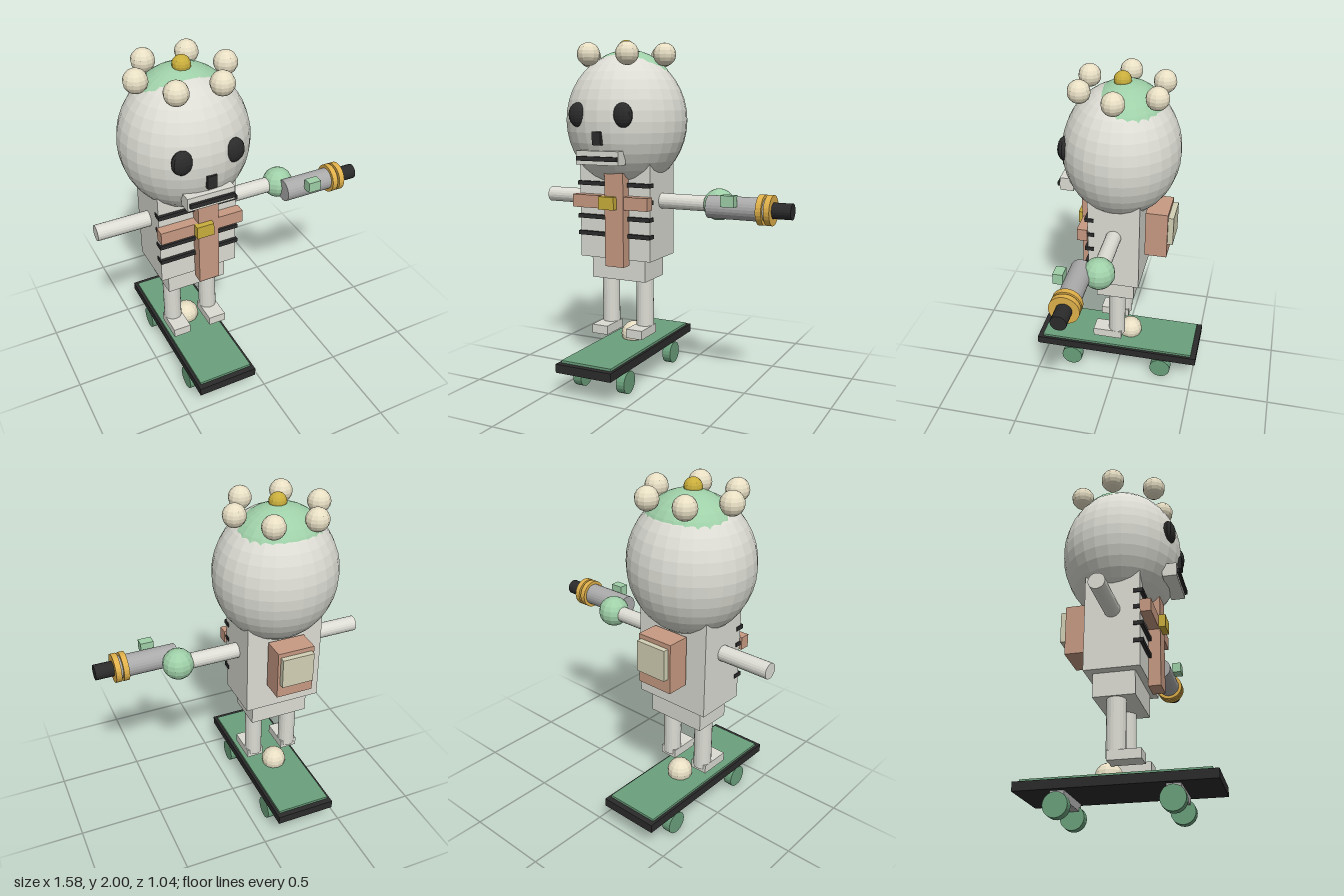
import * as THREE from 'three';

const mat = (color) => new THREE.MeshStandardMaterial({ color, flatShading: true });

export function createModel() {
  const model = new THREE.Group();
  const CX = -0.255; // body axis; the long left arm shifts it off centre

  const bone = mat(0xdcdcd4), cream = mat(0xe8dfc4), black = mat(0x2b2b2b);
  const mint = mat(0x9fd0a8), green = mat(0x6ba07c), brown = mat(0xc79a82);
  const gold = mat(0xe0b04a), brass = mat(0xc9ae3c), steel = mat(0xaaaaaa), sage = mat(0xd2d0b4);

  const add = (name, geometry, material, x, y, z) => {
    const mesh = new THREE.Mesh(geometry, material);
    mesh.name = name;
    mesh.position.set(x, y, z);
    model.add(mesh);
    return mesh;
  };
  // Box given by its size and centre
  const box = (name, m, [w, h, d], x, y, z) => add(name, new THREE.BoxGeometry(w, h, d), m, x, y, z);
  // Ellipsoid given by its three radii
  const ball = (name, m, [rx, ry, rz], x, y, z, ws = 12, hs = 10) =>
    add(name, new THREE.SphereGeometry(1, ws, hs).scale(rx, ry, rz), m, x, y, z);
  // Cylinder along x from x0 to x1
  const rodX = (name, m, r, x0, x1, y, z, sides = 20) =>
    add(name, new THREE.CylinderGeometry(r, r, x1 - x0, sides).rotateZ(-Math.PI / 2), m, (x0 + x1) / 2, y, z);

  // Head with a cap of hair
  ball('head', bone, [0.357, 0.39, 0.34], CX, 1.54, 0, 28, 20);
  ball('cap', mint, [0.289, 0.27, 0.257], CX, 1.675, -0.02, 24, 20);
  ball('topKnob', brass, [0.05, 0.05, 0.05], CX, 1.95, 0);
  for (let i = 0; i < 6; i++) {
    const a = (i * Math.PI) / 3;
    ball('crownBall', cream, [0.065, 0.065, 0.065], CX + 0.247 * Math.cos(a), 1.912, 0.247 * Math.sin(a));
  }

  // Face
  for (const s of [-1, 1]) ball('eye', black, [0.06, 0.069, 0.038], CX + s * 0.142, 1.577, 0.3);
  box('nose', black, [0.054, 0.074, 0.03], CX, 1.45, 0.332);
  box('jaw', bone, [0.27, 0.078, 0.08], CX - 0.003, 1.342, 0.297);
  box('mouth', black, [0.255, 0.025, 0.025], CX, 1.338, 0.34);

  // Torso, hips and ribs
  box('torso', bone, [0.46, 0.56, 0.304], CX, 1.022, 0);
  box('hips', bone, [0.354, 0.14, 0.228], CX, 0.68, 0);
  for (const y of [1.18, 1.083, 0.985, 0.885]) box('rib', black, [0.47, 0.024, 0.054], CX, y, 0.143);

  // Straps and buckle on the chest
  box('chestStrap', brown, [0.12, 0.54, 0.07], -0.222, 0.98, 0.184);
  box('crossStrap', brown, [0.486, 0.074, 0.06], CX, 1.08, 0.184);
  box('buckle', brass, [0.1, 0.074, 0.04], CX, 1.08, 0.233);

  // Backpack
  box('backpack', brown, [0.22, 0.29, 0.132], CX, 1.051, -0.23);
  box('backpackFlap', sage, [0.19, 0.18, 0.035], CX, 1.08, -0.311);

  // Arms
  rodX('rightArm', bone, 0.045, -0.79, CX, 1.08, 0);
  rodX('leftArm', bone, 0.045, CX, 0.33, 1.08, 0);
  ball('elbow', mint, [0.09, 0.09, 0.09], 0.333, 1.08, 0);

  // Blaster on the left arm
  rodX('blasterBarrel', steel, 0.064, 0.315, 0.67, 1.08, 0.098, 24);
  for (const x of [0.608, 0.653]) rodX('blasterRing', gold, 0.083, x, x + 0.032, 1.08, 0.098, 24);
  rodX('blasterMuzzle', black, 0.044, 0.66, 0.79, 1.08, 0.098);
  box('blasterSight', mint, [0.077, 0.062, 0.055], 0.461, 1.128, 0.182);

  // Legs and feet
  for (const s of [-1, 1]) {
    const x = CX + s * 0.116;
    add('leg', new THREE.CylinderGeometry(0.052, 0.052, 0.33, 20), bone, x, 0.46, 0);
    box('foot', bone, [0.104, 0.053, 0.18], x, 0.298, 0.053);
  }

  // Skateboard with a ball on the deck
  ball('deckBall', cream, [0.075, 0.075, 0.075], CX, 0.235, -0.066);
  box('board', black, [0.355, 0.05, 1.044], CX, 0.168, 0);
  box('deckGrip', green, [0.322, 0.02, 0.978], CX, 0.197, 0);
  for (const z of [0.294, -0.294]) {
    box('truck', steel, [0.29, 0.046, 0.075], CX, 0.121, z);
    for (const s of [-1, 1]) {
      const x = CX + s * 0.143;
      rodX('wheel', green, 0.066, x - 0.026, x + 0.026, 0.066, z, 20);
    }
  }
  return model;
}
